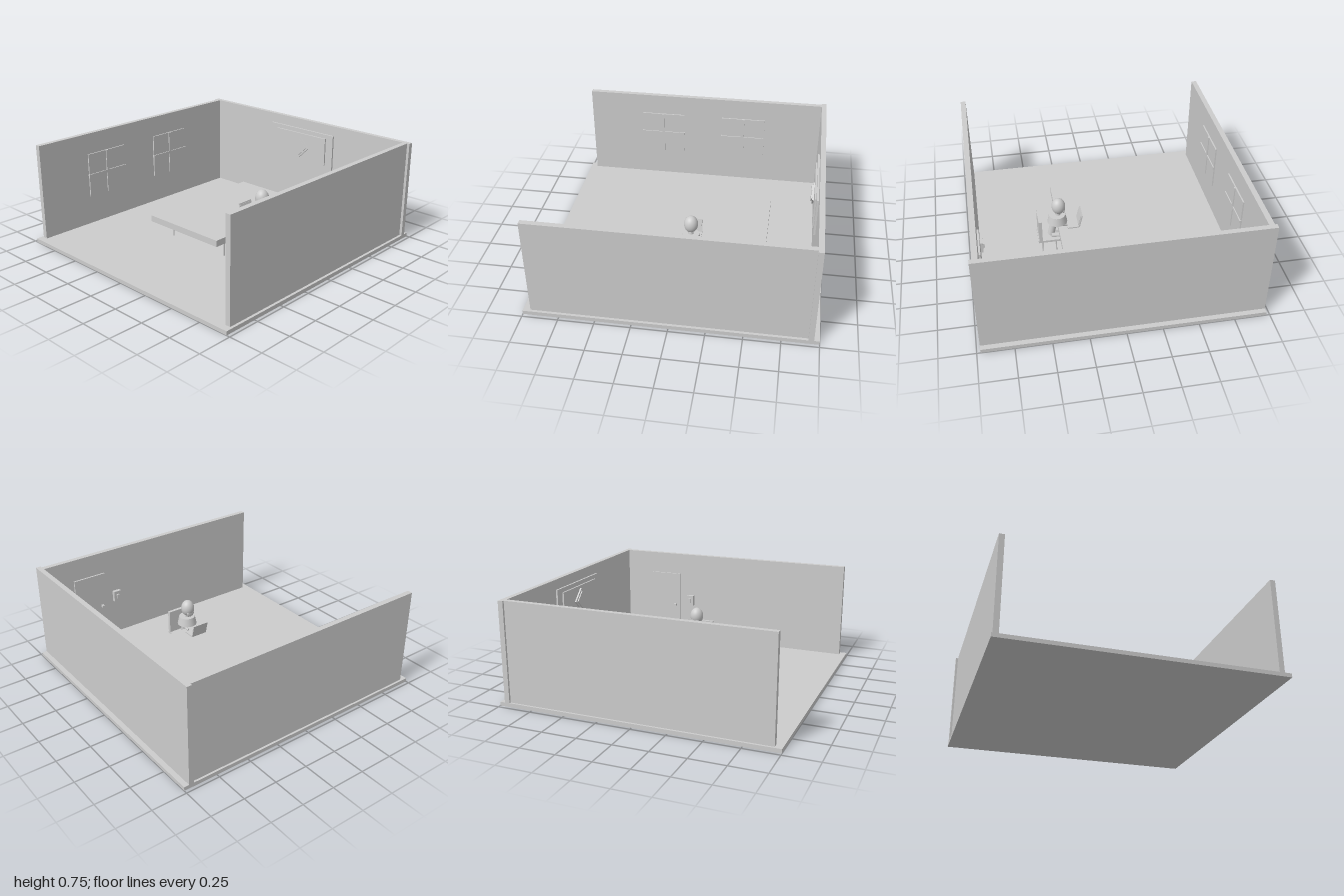
import * as THREE from 'three';

export function createModel() {
  const model = new THREE.Group();
  const grey = new THREE.MeshStandardMaterial({ color: 0xcccccc });
  grey.name = 'plain grey';

  const add = (name, geometry, parent = model) => {
    const mesh = new THREE.Mesh(geometry, grey);
    mesh.name = name;
    parent.add(mesh);
    return mesh;
  };
  // Box given by its limits on each axis
  const box = (name, x0, x1, y0, y1, z0, z1, parent) => {
    const mesh = add(name, new THREE.BoxGeometry(x1 - x0, y1 - y0, z1 - z0), parent);
    mesh.position.set((x0 + x1) / 2, (y0 + y1) / 2, (z0 + z1) / 2);
    return mesh;
  };
  // Round limb between two points
  const limb = (name, a, b, r0, r1, parent) => {
    const from = new THREE.Vector3(...a), to = new THREE.Vector3(...b);
    const dir = to.clone().sub(from);
    const mesh = add(name, new THREE.CylinderGeometry(r1, r0, dir.length(), 16), parent);
    mesh.position.copy(from).add(to).multiplyScalar(0.5);
    mesh.quaternion.setFromUnitVectors(new THREE.Vector3(0, 1, 0), dir.normalize());
    return mesh;
  };
  const group = (name) => {
    const g = new THREE.Group();
    g.name = name;
    model.add(g);
    return g;
  };

  // Room shell, open at the front and top
  box('floor', -0.975, 0.975, 0, 0.028, -1, 1);
  box('backWall', -0.975, 0.975, 0.028, 0.75, -0.963, -0.926);
  box('rightWall', -0.96, -0.922, 0.028, 0.75, -0.926, 0.95);
  box('leftWall', 0.918, 0.956, 0.028, 0.75, -0.926, 0.95);

  // Windows with crossing bars
  for (const z of [-0.307, 0.353]) {
    const win = group('window');
    box('windowPane', -0.923, -0.912, 0.25, 0.59, z - 0.175, z + 0.175, win);
    box('windowUpright', -0.923, -0.904, 0.25, 0.59, z - 0.01, z + 0.01, win);
    box('windowCrossbar', -0.923, -0.904, 0.41, 0.43, z - 0.178, z + 0.178, win);
  }

  // Door, handle and wall switch
  box('door', 0.905, 0.919, 0.028, 0.58, -0.7, -0.44);
  box('doorHandle', 0.88, 0.905, 0.3, 0.318, -0.49, -0.472);
  box('switchPlate', 0.89, 0.918, 0.315, 0.4, -0.375, -0.315);
  box('switchButton', 0.878, 0.89, 0.34, 0.375, -0.355, -0.335);

  // Wall panel with stepped diamond ornament
  const panel = group('wallPanel');
  box('panelFrame', -0.31, 0.31, 0.39, 0.673, -0.926, -0.912, panel);
  box('panelScreen', -0.245, 0.245, 0.42, 0.64, -0.912, -0.9, panel);
  for (const [half, z0, z1] of [[0.09, -0.9, -0.888], [0.07, -0.888, -0.88]]) {
    const side = half * Math.SQRT2;
    const diamond = add('diamond', new THREE.BoxGeometry(side, side, z1 - z0), panel);
    diamond.position.set(0, 0.53, (z0 + z1) / 2);
    diamond.rotation.z = Math.PI / 4;
  }

  // Table
  const table = group('table');
  box('tableTop', -0.333, 0.333, 0.177, 0.224, -0.59, 0.42, table);
  for (const x of [-0.26, 0.26])
    for (const z of [-0.44, 0.268])
      limb('tableLeg', [x, 0.038, z], [x, 0.177, z], 0.006, 0.007, table);

  // Chair
  const chair = group('chair');
  box('chairSeat', 0.315, 0.488, 0.136, 0.153, -0.138, 0.022, chair);
  box('chairBack', 0.458, 0.482, 0.153, 0.328, -0.138, 0.022, chair);
  for (const x of [0.358, 0.46])
    for (const z of [-0.12, 0.004])
      limb('chairLeg', [x, 0.038, z], [x, 0.136, z], 0.005, 0.005, chair);

  // Laptop with a leaning screen
  const laptop = group('laptop');
  box('laptopBase', 0.185, 0.268, 0.23, 0.239, -0.122, 0.004, laptop);
  const lid = add('laptopScreen', new THREE.BoxGeometry(0.009, 0.1, 0.126), laptop);
  lid.position.set(0.172, 0.283, -0.059);
  lid.rotation.z = 0.24;
  const display = add('laptopDisplay', new THREE.BoxGeometry(0.004, 0.08, 0.108), laptop);
  display.position.set(0.178, 0.284, -0.059);
  display.rotation.z = 0.24;

  // Seated person facing the laptop
  const person = group('person');
  const cz = -0.06;
  const head = add('head', new THREE.SphereGeometry(1, 32, 24), person);
  head.scale.set(0.05, 0.063, 0.05);
  head.position.set(0.325, 0.403, cz);
  limb('neck', [0.333, 0.32, cz], [0.328, 0.36, cz], 0.02, 0.018, person);
  const shoulders = add('shoulders', new THREE.CylinderGeometry(0.06, 0.073, 0.062, 32), person);
  shoulders.position.set(0.337, 0.298, cz);
  limb('torso', [0.388, 0.153, cz], [0.36, 0.275, cz], 0.026, 0.024, person);
  // Thin curved face cover
  const cover = add('faceCover', new THREE.SphereGeometry(0.032, 20, 14), person);
  cover.scale.set(0.35, 0.9, 1);
  cover.position.set(0.291, 0.372, cz);
  for (const s of [-1, 1]) {
    limb('forearm', [0.33, 0.275, cz + s * 0.05], [0.272, 0.245, cz + s * 0.035], 0.013, 0.009, person);
    limb('thigh', [0.388, 0.16, cz + s * 0.03], [0.278, 0.15, cz + s * 0.03], 0.018, 0.016, person);
    limb('shin', [0.278, 0.155, cz + s * 0.03], [0.25, 0.042, cz + s * 0.03], 0.016, 0.01, person);
  }
  return model;
}
